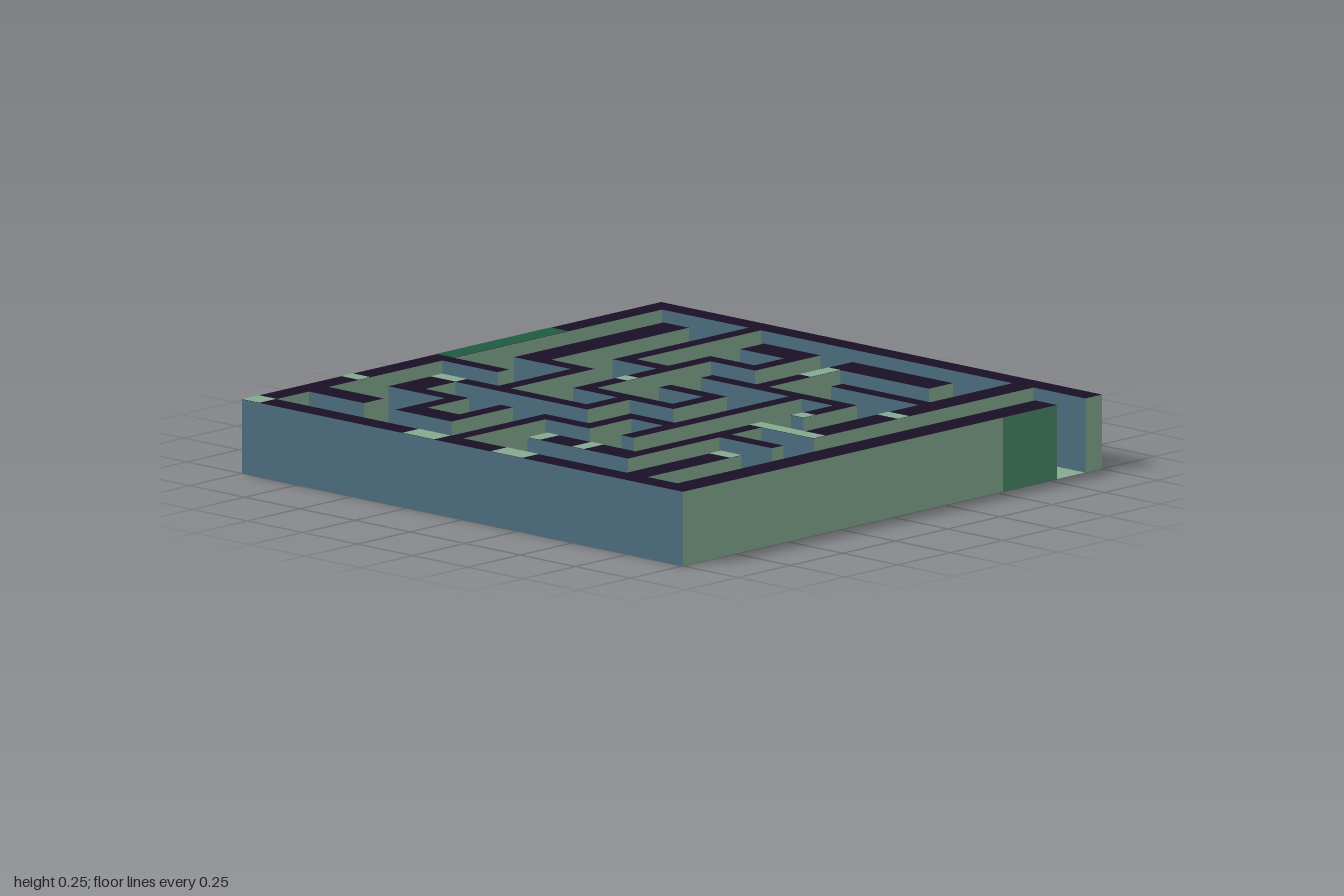
import * as THREE from 'three';

const HEIGHT = 0.25;
const mat = (color) => new THREE.MeshStandardMaterial({ color });
const pale = mat(0x84a890);
const dark = mat(0x1a1026);
const blue = mat(0x4b6a7b);
const forest = mat(0x1f5a40);
const green = mat(0x4a8668);

// Walls lie on grid lines 0 to 9, 0.2 apart. Lines 1 and 8 are wider, 0 and 9 are
// the boundary, and a half index is the corridor between two lines.
function band(i, lastStart) {
  if (i % 1) return [band(i - 0.5, lastStart)[1], band(i + 0.5, lastStart)[0]];
  if (i === 0) return [-1, -0.92];
  if (i === 1) return [-0.785, -0.67];
  if (i === 8) return [0.67, 0.765];
  if (i === 9) return [lastStart, 1];
  const centre = -0.9 + 0.2 * i;
  return [centre - 0.028, centre + 0.028];
}

// Rectangle covering the grid cells between two points [column, row]
function footprint([i0, j0], [i1, j1]) {
  const left = band(Math.min(i0, i1), 0.9)[0];
  const right = band(Math.max(i0, i1), 0.9)[1];
  const back = band(Math.min(j0, j1), 0.92)[0];
  const front = band(Math.max(j0, j1), 0.92)[1];
  return { w: right - left, d: front - back, x: (left + right) / 2, z: (back + front) / 2 };
}

function addWall(parent, name, from, to, side = pale) {
  const { w, d, x, z } = footprint(from, to);
  // +x, -x, top, bottom, front, back
  const wall = new THREE.Mesh(new THREE.BoxGeometry(w, HEIGHT, d), [side, pale, dark, pale, blue, forest]);
  wall.position.set(x, HEIGHT / 2, z);
  wall.name = name;
  parent.add(wall);
}

function addCap(parent, name, from, to, material) {
  const { w, d, x, z } = footprint(from, to);
  const cap = new THREE.Mesh(new THREE.PlaneGeometry(w, d).rotateX(-Math.PI / 2), material);
  cap.position.set(x, HEIGHT + 0.001, z);
  cap.name = name;
  parent.add(cap);
}

function addGroup(parent, name) {
  const group = new THREE.Group();
  group.name = name;
  parent.add(group);
  return group;
}

// Bent wall runs, as corner points on the grid
const runs = [
  [[1, 1], [1, 4], [2, 4], [2, 6]],
  [[4, 5], [4, 6], [1, 6], [1, 7], [2, 7], [2, 8], [3, 8], [3, 7]],
  [[2, 0], [2, 3], [3, 3]],
  [[3, 1], [4, 1], [4, 2], [3, 2], [3, 5], [5, 5], [5, 4], [4, 4]],
  [[0, 5], [1, 5]],
  [[0, 8], [1, 8]],
  [[7, 1], [5, 1], [5, 3]],
  [[4, 3], [7, 3], [7, 4]],
  [[6, 3], [6, 7]],
  [[6, 6], [5, 6], [5, 7], [4, 7], [4, 9]],
  [[6, 2], [8, 2]],
  [[8, 0], [8, 5], [7, 5], [7, 8], [5, 8]],
  [[7, 6], [8, 6]],
  [[8, 7], [8, 9]],
];

// Single cells with a pale top
const paleCells = [
  [1, 6], [0, 7], [0, 9], [3.5, 9], [5.5, 9], [3, 4], [5, 1.5],
  [7, 4], [8, 3], [7, 5], [7.5, 5], [8, 5], [5, 8], [6, 8], [8, 7],
];

export function createModel() {
  const model = new THREE.Group();
  model.name = 'maze';

  // Floor, seen from both sides
  const floorMaterial = mat(0x84a890);
  floorMaterial.side = THREE.DoubleSide;
  const floor = new THREE.Mesh(new THREE.PlaneGeometry(2, 2).rotateX(-Math.PI / 2), floorMaterial);
  floor.name = 'floor';
  model.add(floor);

  // Boundary, with the entrance left open at the back right corner
  const boundary = addGroup(model, 'boundary');
  addWall(boundary, 'backWall', [0, 0], [9, 0]);
  addWall(boundary, 'rightWall', [0, 0], [0, 9]);
  addWall(boundary, 'frontWall', [0, 9], [9, 9]);
  addWall(boundary, 'leftWall', [9, 2], [9, 9]);
  addWall(boundary, 'entranceWall', [9, 1], [9, 1.5], green);

  // Corridor walls, one box per straight stretch
  const corridors = addGroup(model, 'corridors');
  for (const run of runs) {
    for (let k = 1; k < run.length; k++) addWall(corridors, 'innerWall', run[k - 1], run[k]);
  }

  // Coloured wall tops
  const tops = addGroup(model, 'wallTops');
  for (const cell of paleCells) addCap(tops, 'paleCap', cell, cell, pale);
  addCap(tops, 'greenCap', [0, 2.5], [0, 4.5], forest);

  return model;
}
